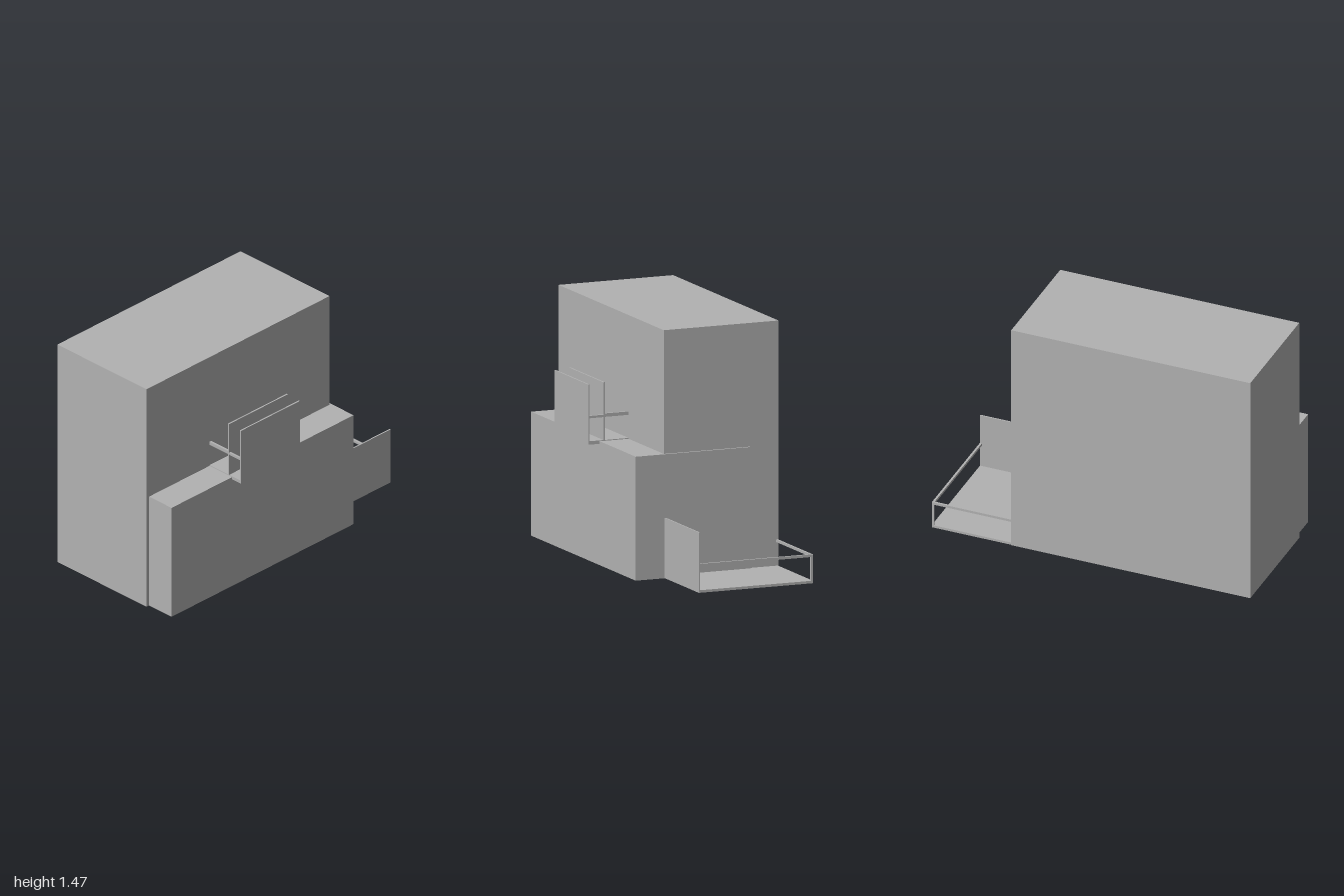
import * as THREE from 'three';

export function createModel() {
  const model = new THREE.Group();
  model.name = 'house';
  const grey = new THREE.MeshStandardMaterial({ color: 0xb2b2b2 });
  grey.name = 'plain grey';

  // Box given by its limits on each axis
  function block(parent, name, [x0, x1], [y0, y1], [z0, z1]) {
    const mesh = new THREE.Mesh(new THREE.BoxGeometry(x1 - x0, y1 - y0, z1 - z0), grey);
    mesh.position.set((x0 + x1) / 2, (y0 + y1) / 2, (z0 + z1) / 2);
    mesh.name = name;
    parent.add(mesh);
  }
  function group(name) {
    const g = new THREE.Group();
    g.name = name;
    model.add(g);
    return g;
  }

  // Building volumes
  block(model, 'mainBlock', [-1, 0.5], [0.015, 1.472], [-0.49, 0.235]);
  block(model, 'frontBlock', [-0.978, 0.513], [0.0145, 0.744], [-0.307, 0.418]);
  block(model, 'basePlate', [-0.49, 0.005], [0, 0.016], [-0.307, 0.235]);

  // Side terrace with a screen in front and rails on the other sides
  const terrace = group('terrace');
  block(terrace, 'terraceFloor', [0.5, 1], [0.015, 0.03], [-0.486, 0.235]);
  block(terrace, 'terraceScreen', [0.513, 1], [0.015, 0.37], [0.227, 0.235]);
  block(terrace, 'sideRail', [0.987, 1], [0.17, 0.185], [-0.486, 0.227]);
  block(terrace, 'backRail', [0.5, 0.987], [0.17, 0.185], [-0.486, -0.474]);
  block(terrace, 'cornerPost', [0.987, 1], [0.03, 0.17], [-0.486, -0.474]);

  // Balcony with two upright panels
  const balcony = group('balcony');
  block(balcony, 'balconyFloor', [-0.482, 0], [0.729, 0.749], [0.235, 0.489]);
  block(balcony, 'frontPanel', [-0.482, 0], [0.729, 1.083], [0.481, 0.49]);
  block(balcony, 'innerPanel', [-0.482, 0], [0.745, 1.089], [0.385, 0.394]);
  for (const x of [-0.482, -0.013]) {
    block(balcony, 'innerRail', [x, x + 0.013], [0.885, 0.905], [0.235, 0.385]);
    block(balcony, 'outerRail', [x, x + 0.013], [0.884, 0.898], [0.394, 0.481]);
  }
  return model;
}
